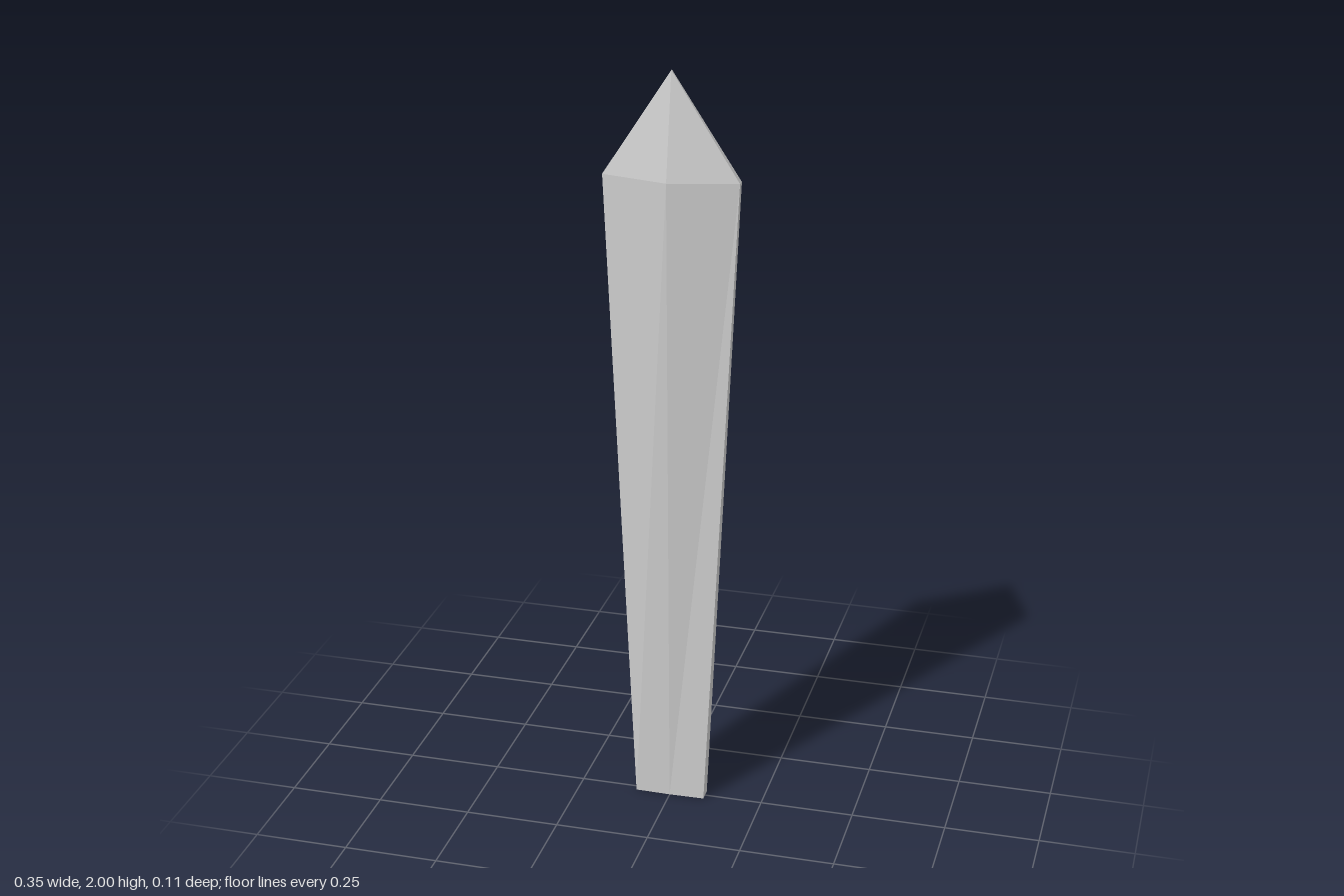
import * as THREE from 'three';

// Six-sided cross-section: half width w, half thickness at the edge e, at the ridge r
function ring({ y, w, e, r }) {
  return [[w, e], [0, r], [-w, e], [-w, -e], [0, -r], [w, -e]]
    .map(([x, z]) => new THREE.Vector3(x, y, z));
}

// Skin a stack of rings, closing the bottom
function loft(sections) {
  const rings = sections.map(ring);
  const points = [];
  const triangle = (a, b, c) => {
    if (new THREE.Triangle(a, b, c).getArea() > 1e-7) points.push(a, b, c);
  };
  for (let k = 0; k < rings.length - 1; k++) {
    const low = rings[k], high = rings[k + 1];
    for (let i = 0; i < 6; i++) {
      const j = (i + 1) % 6;
      triangle(low[i], high[i], low[j]);
      triangle(low[j], high[i], high[j]);
    }
  }
  for (let i = 1; i < 5; i++) triangle(rings[0][0], rings[0][i], rings[0][i + 1]);
  const geometry = new THREE.BufferGeometry().setFromPoints(points);
  geometry.computeVertexNormals();
  return geometry;
}

export function createModel() {
  const group = new THREE.Group();
  group.name = 'bladeModel';
  const material = new THREE.MeshStandardMaterial({ color: 0xcccccc, flatShading: true });

  // Blade: square-cut base, ridged shoulder, tip narrowing to a short edge
  const blade = new THREE.Mesh(loft([
    { y: 0, w: 0.094, e: 0.019, r: 0.021 },
    { y: 1.73, w: 0.175, e: 0.01, r: 0.053 },
    { y: 2, w: 0, e: 0.003, r: 0.003 },
  ]), material);
  blade.name = 'blade';
  group.add(blade);
  return group;
}
